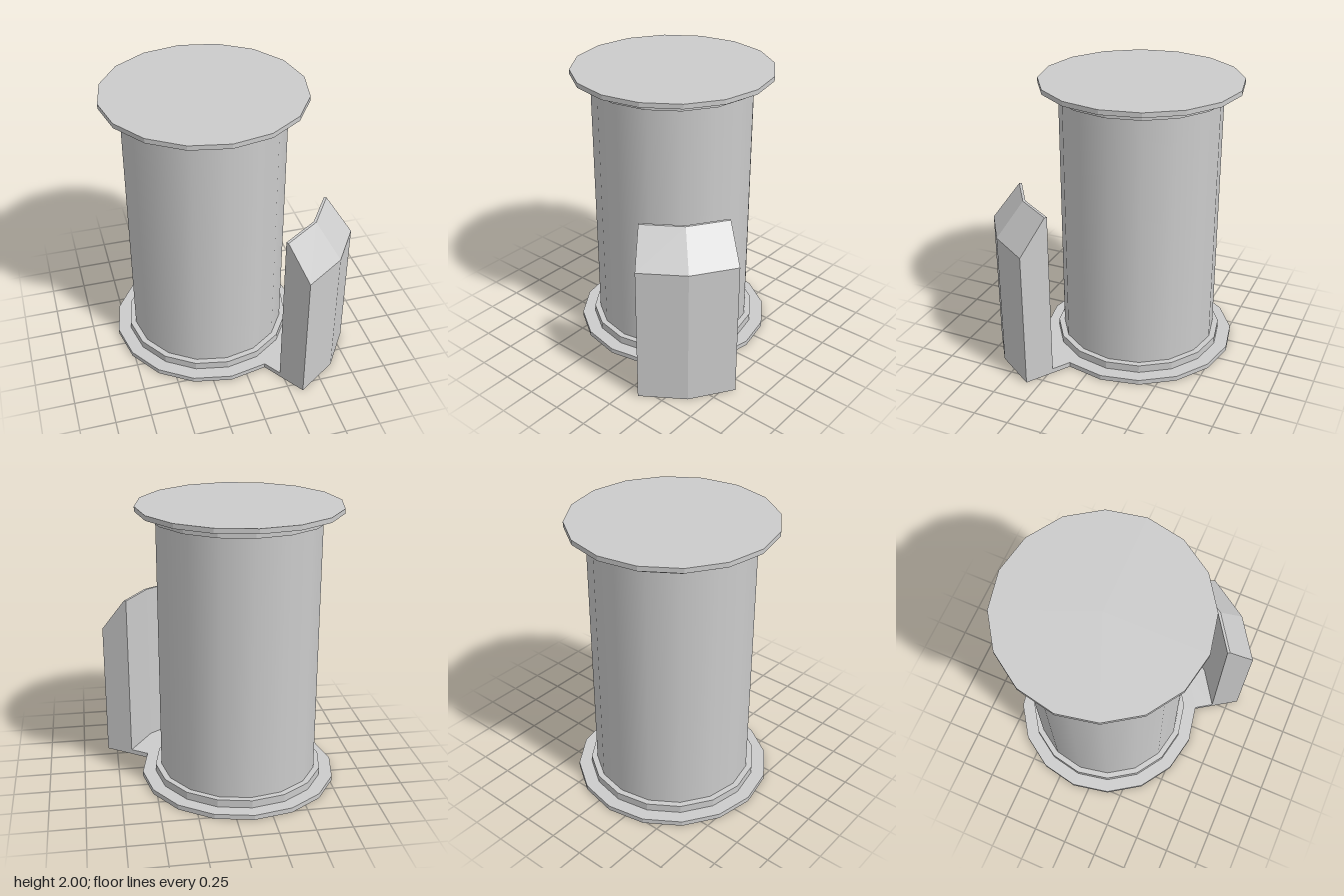
import * as THREE from 'three';

const SIDES = 16, RADIUS = 0.7, CENTRE = -0.12;

export function createModel() {
  const model = new THREE.Group();
  const smooth = new THREE.MeshStandardMaterial({ color: 0xcccccc });
  const flat = new THREE.MeshStandardMaterial({ color: 0xcccccc, flatShading: true });

  const column = new THREE.Group();
  column.name = 'column';
  column.position.set(CENTRE, 0, CENTRE);
  model.add(column);

  function addDisc(name, radius, bottom, top, material) {
    const mesh = new THREE.Mesh(new THREE.CylinderGeometry(radius, radius, top - bottom, SIDES), material);
    mesh.position.y = (bottom + top) / 2;
    mesh.name = name;
    column.add(mesh);
  }

  // Smooth shaft between two mirrored stepped flanges
  addDisc('shaft', 0.563, 0.09, 1.915, smooth);
  addDisc('bottomFlange', RADIUS, 0, 0.035, flat);
  addDisc('bottomCollar', 0.605, 0.035, 0.09, flat);
  addDisc('topCollar', 0.605, 1.915, 1.967, flat);
  addDisc('topFlange', RADIUS, 1.967, 2, flat);

  // Bent console: floor strip and bevelled wall, as (distance from flange, height)
  const profile = new THREE.Shape([
    [0, 0], [0.35, 0], [0.35, 0.99], [0.157, 1.235],
    [0.139, 1.235], [0.139, 0.035], [0, 0.035],
  ].map(([d, y]) => new THREE.Vector2(d, y)));
  const geometry = new THREE.ExtrudeGeometry(profile, { depth: 2, steps: 2, bevelEnabled: false });

  // Sweep the profile along two flange edges, with a mitre at the middle corner
  const step = (Math.PI * 2) / SIDES;
  const pos = geometry.attributes.position;
  for (let i = 0; i < pos.count; i++) {
    const station = Math.round(pos.getZ(i));
    const corner = step * (station + 1);
    const outward = Math.PI / 4 + (station - 1) * step / 2;
    const d = station === 1 ? pos.getX(i) / Math.cos(step / 2) : pos.getX(i);
    pos.setX(i, RADIUS * Math.cos(corner) + d * Math.cos(outward));
    pos.setZ(i, RADIUS * Math.sin(corner) + d * Math.sin(outward));
  }
  geometry.computeVertexNormals();
  const console_ = new THREE.Mesh(geometry, flat);
  console_.name = 'frontConsole';
  column.add(console_);

  return model;
}
